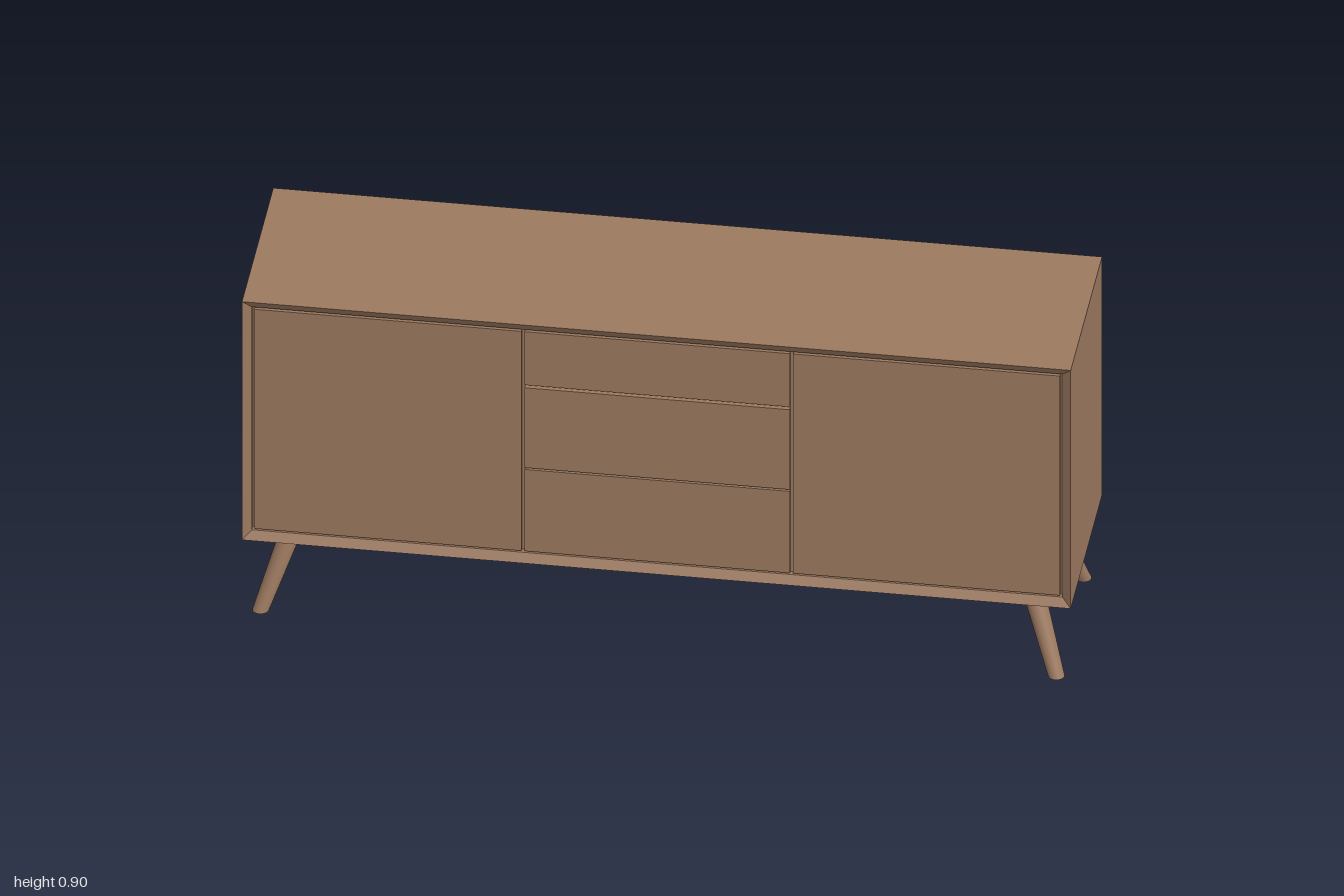
import * as THREE from 'three';

const wood = new THREE.MeshStandardMaterial({ color: 0x9c7960 });
wood.name = 'walnut wood';

const BOTTOM = 0.217, TOP = 0.897, DEPTH = 0.25;

// Flat-faced shell lofted through rectangles, each inset from the outer outline at a given z.
function rectLoft(sections) {
  const rings = sections.map(([inset, z]) => {
    const x = 1 - inset, lo = BOTTOM + inset, hi = TOP - inset;
    return [[-x, lo, z], [x, lo, z], [x, hi, z], [-x, hi, z]];
  });
  const positions = [];
  const quad = (a, b, c, d) => positions.push(...a, ...b, ...c, ...a, ...c, ...d);
  const [b0, b1, b2, b3] = rings[0];
  quad(b3, b2, b1, b0);
  for (let r = 0; r < rings.length - 1; r++) {
    for (let i = 0; i < 4; i++) {
      const j = (i + 1) % 4;
      quad(rings[r][i], rings[r][j], rings[r + 1][j], rings[r + 1][i]);
    }
  }
  quad(...rings[rings.length - 1]);
  const geometry = new THREE.BufferGeometry();
  geometry.setAttribute('position', new THREE.Float32BufferAttribute(positions, 3));
  geometry.computeVertexNormals();
  return geometry;
}

// Panel given by its front edges, sitting in the cabinet recess.
function panel(name, x0, x1, y0, y1) {
  const back = 0.222, front = 0.236;
  const mesh = new THREE.Mesh(new THREE.BoxGeometry(x1 - x0, y1 - y0, front - back), wood);
  mesh.position.set((x0 + x1) / 2, (y0 + y1) / 2, (back + front) / 2);
  mesh.name = name;
  return mesh;
}

// Tapered round leg, sheared so that both ends stay level.
function leg(name, sx, sz) {
  const geometry = new THREE.CylinderGeometry(0.028, 0.02, BOTTOM, 32);
  const shear = new THREE.Matrix4().set(
    1, sx * (0.887 - 0.96) / BOTTOM, 0, sx * 0.9235,
    0, 1, 0, BOTTOM / 2,
    0, sz * (0.14 - 0.215) / BOTTOM, 1, sz * 0.1775,
    0, 0, 0, 1
  );
  geometry.applyMatrix4(shear);
  const mesh = new THREE.Mesh(geometry, wood);
  mesh.name = name;
  return mesh;
}

export function createModel() {
  const model = new THREE.Group();
  model.name = 'sideboard';

  // Cabinet with a mitred, inward-sloping front rim and a shallow recess
  const cabinet = new THREE.Mesh(
    rectLoft([[0, -DEPTH], [0, DEPTH], [0.022, 0.236], [0.022, 0.222]]), wood);
  cabinet.name = 'cabinet';
  model.add(cabinet);

  // Side doors
  model.add(panel('rightDoor', -0.972, -0.328, 0.243, 0.869));
  model.add(panel('leftDoor', 0.328, 0.972, 0.243, 0.869));

  // Three stacked drawers
  const drawers = [['topDrawer', 0.717, 0.869], ['middleDrawer', 0.481, 0.709], ['bottomDrawer', 0.243, 0.476]];
  for (const [name, y0, y1] of drawers) model.add(panel(name, -0.32, 0.32, y0, y1));

  // Splayed legs
  for (const [side, sx] of [['Left', 1], ['Right', -1]]) {
    model.add(leg('front' + side + 'Leg', sx, 1));
    model.add(leg('back' + side + 'Leg', sx, -1));
  }
  return model;
}
